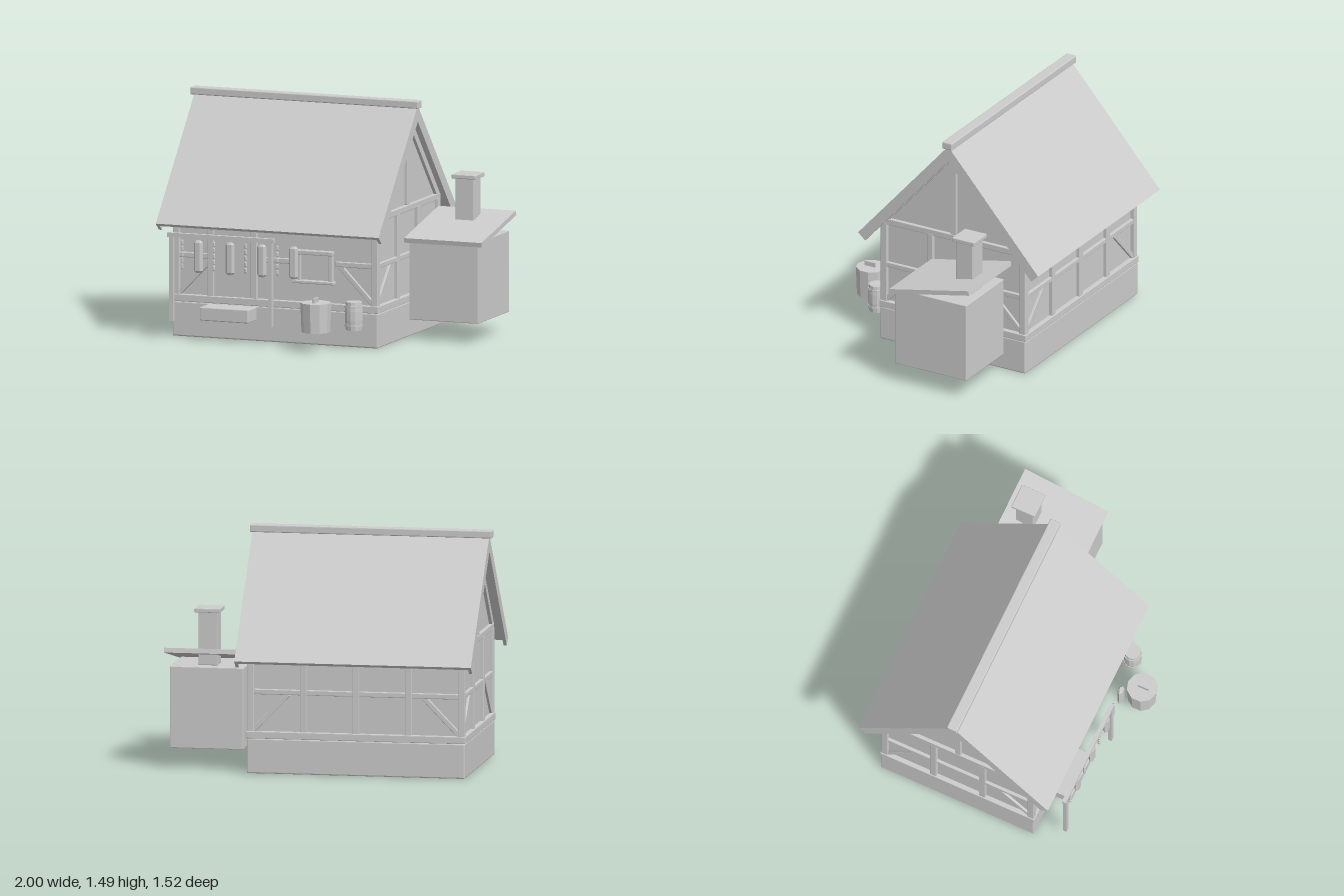
import * as THREE from 'three';
import { RoundedBoxGeometry } from 'three/addons/geometries/RoundedBoxGeometry.js';

const CX = -0.23, CZ = -0.11;        // house centre
const HX = 0.69, HZ = 0.525;         // house half sizes

export function createModel() {
  const model = new THREE.Group();
  model.name = 'timberHouse';
  const clay = new THREE.MeshStandardMaterial({ color: 0xcccccc, flatShading: true });
  clay.name = 'paleGrey';

  const add = (name, geometry, parent = model) => {
    const mesh = new THREE.Mesh(geometry, clay);
    mesh.name = name;
    parent.add(mesh);
    return mesh;
  };
  // Box from its limits, with an optional small bevel
  const box = (name, [x0, x1], [y0, y1], [z0, z1], bevel = 0.004, parent = model) => {
    const size = [x1 - x0, y1 - y0, z1 - z0];
    const geometry = bevel ? new RoundedBoxGeometry(...size, 1, bevel) : new THREE.BoxGeometry(...size);
    const mesh = add(name, geometry, parent);
    mesh.position.set((x0 + x1) / 2, (y0 + y1) / 2, (z0 + z1) / 2);
    return mesh;
  };
  // Cross-section of [distance from ridge line, height] run along x
  const alongX = (name, points, x0, x1) => {
    const shape = new THREE.Shape(points.map(([s, y]) => new THREE.Vector2(s, y)));
    const geometry = new THREE.ExtrudeGeometry(shape, { depth: x1 - x0, bevelEnabled: false });
    geometry.rotateY(Math.PI / 2).translate(x0, 0, CZ);
    return add(name, geometry);
  };
  // Inverted V following the roof pitch
  const PITCH = 1.138, COS = 0.66, SIN = 0.752;
  const chevron = (name, apex, reach, t, x0, x1) => {
    const eave = apex - reach * PITCH;
    const ix = reach - SIN * t, iy = eave - COS * t;
    return alongX(name, [[0, apex], [-reach, eave], [-ix, iy], [0, apex - t / COS], [ix, iy], [reach, eave]], x0, x1);
  };

  // Foundation and plastered body
  box('foundation', [CX - HX, CX + HX], [0, 0.22], [CZ - HZ, CZ + HZ], 0.008);
  alongX('plasterWalls', [[-0.5, 0.2], [0.5, 0.2], [0.5, 0.82], [0, 1.39], [-0.5, 0.82]], CX - HX + 0.025, CX + HX - 0.025);

  // Timber framing of one wall, built facing +z and then turned
  const frameWall = (name, angle, half, offset, posts, rails) => {
    const wall = new THREE.Group();
    wall.name = name;
    wall.position.set(CX, 0, CZ);
    wall.rotation.y = angle;
    model.add(wall);
    const depth = [offset - 0.045, offset - 0.002];
    box('sillBeam', [-half - 0.004, half + 0.004], [0.22, 0.265], [offset - 0.05, offset + 0.004], 0.004, wall);
    box('wallPlate', [-half + 0.004, half - 0.004], [0.79, 0.83], [offset - 0.046, offset - 0.003], 0.004, wall);
    for (const u of [-half + 0.0235, ...posts, half - 0.0235]) {
      box('post', [u - 0.0215, u + 0.0215], [0.26, 0.8], depth, 0.004, wall);
    }
    for (const span of rails) box('middleRail', span, [0.498, 0.53], [offset - 0.045, offset - 0.006], 0.004, wall);
    // Corner braces
    for (const side of [-1, 1]) {
      const brace = box('cornerBrace', [-0.165, 0.165], [-0.016, 0.016], [offset - 0.043, offset - 0.01], 0.004, wall);
      brace.position.set(side * (half - 0.148), 0.385, offset - 0.0265);
      brace.rotation.z = -side * 0.8;
    }
    return wall;
  };
  const full = (half) => [[-half + 0.02, half - 0.02]];
  frameWall('backFrame', Math.PI, HX, HZ, [-0.333, 0, 0.333], full(HX));
  const front = frameWall('frontFrame', 0, HX, HZ, [-0.435, -0.145], [[-0.67, -0.435], [-0.145, 0.12], [0.4, 0.67]]);
  for (const side of [-1, 1]) {
    const gable = frameWall('gableFrame', side * Math.PI / 2, HZ, HX, [-0.167, 0.167], full(HZ));
    box('kingPost', [-0.021, 0.021], [0.83, 1.36], [HX - 0.045, HX - 0.004], 0.004, gable);
    const x = CX + side * (HX - 0.024);
    chevron('gableRafters', 1.415, 0.52, 0.042, x - 0.019, x + 0.019);
  }

  // Door, lintel and step
  box('door', [-0.42, -0.16], [0.26, 0.69], [HZ - 0.03, HZ - 0.016], 0, front);
  box('doorLintel', [-0.45, -0.13], [0.69, 0.725], [HZ - 0.045, HZ], 0.004, front);
  box('doorStep', [-0.68, -0.355], [0.13, 0.215], [0.4, 0.555], 0.006);

  // Window
  box('windowPane', [-0.07, 0.14], [0.4, 0.57], [0.39, 0.398], 0);
  box('windowHead', [-0.1, 0.16], [0.565, 0.592], [0.385, 0.428]);
  box('windowSill', [-0.11, 0.17], [0.385, 0.404], [0.385, 0.438]);
  for (const x of [-0.085, 0.13]) box('windowJamb', [x, x + 0.026], [0.4, 0.57], [0.385, 0.422]);

  // Main roof, barge boards and ridge
  chevron('mainRoof', 1.46, 0.65, 0.025, -0.98, 0.515);
  for (const x of [-0.981, 0.496]) chevron('bargeBoards', 1.459, 0.65, 0.067, x, x + 0.02);
  box('ridgeBeam', [-1, 0.53], [1.443, 1.49], [CZ - 0.035, CZ + 0.035], 0.006);

  // Lean-to with its sloping roof and chimney
  box('leanTo', [0.505, 0.97], [0.127, 0.64], [-0.507, 0.008], 0.004);
  const shed = box('leanToRoof', [0.48, 1], [-0.015, 0.015], [-0.292, 0.292], 0);
  shed.position.set(0.74, 0.687, -0.257);
  shed.rotation.x = 0.205;
  box('chimney', [0.677, 0.799], [0.645, 0.98], [-0.455, -0.333], 0.004);
  box('chimneyCap', [0.658, 0.818], [0.978, 1.004], [-0.475, -0.315], 0.004);

  // Drying rack
  for (const x of [-0.848, -0.185]) box('rackPost', [x - 0.013, x + 0.013], [0.125, 0.67], [0.587, 0.613], 0);
  box('rackBar', [-0.875, -0.16], [0.655, 0.682], [0.587, 0.613], 0);

  // Hanging hams and sausage strings: flat pieces with chamfered ends
  const chamfered = (name, x, y, w, h, d, cut) => {
    const a = w / 2, b = h / 2;
    const profile = [[0.001, -b], [a - cut, -b], [a, -b + cut], [a, b - cut], [a - cut, b], [0.001, b]];
    const geometry = new THREE.LatheGeometry(profile.map(([r, v]) => new THREE.Vector2(r, v)), 6, Math.PI / 2);
    geometry.scale(1, 1, d / (w * 0.866));
    add(name, geometry).position.set(x, y, 0.6);
  };
  for (let i = 0; i < 4; i++) {
    chamfered('hangingHam', -0.67 + i * 0.213, 0.54, 0.062, 0.205, 0.032, 0.014);
    for (let k = 0; k < 5; k++) {
      chamfered('sausageLink', -0.779 + i * 0.213, 0.472 + k * 0.038, 0.018, 0.034, 0.016, 0.005);
    }
  }

  // Chopping block with a wedge
  add('choppingBlock', new THREE.CylinderGeometry(0.097, 0.09, 0.185, 10)).position.set(0.145, 0.2175, 0.663);
  box('wedge', [0.138, 0.151], [0.3, 0.34], [0.635, 0.708], 0);

  // Barrel with two hoops
  const barrel = [[0.001, 0], [0.051, 0], [0.056, 0.06], [0.056, 0.12], [0.051, 0.178], [0.001, 0.178]];
  add('barrel', new THREE.LatheGeometry(barrel.map(([r, y]) => new THREE.Vector2(r, y)), 12)).position.set(0.338, 0.126, 0.508);
  for (const y of [0.158, 0.274]) {
    add('barrelHoop', new THREE.CylinderGeometry(0.058, 0.058, 0.012, 12)).position.set(0.338, y, 0.508);
  }
  return model;
}
